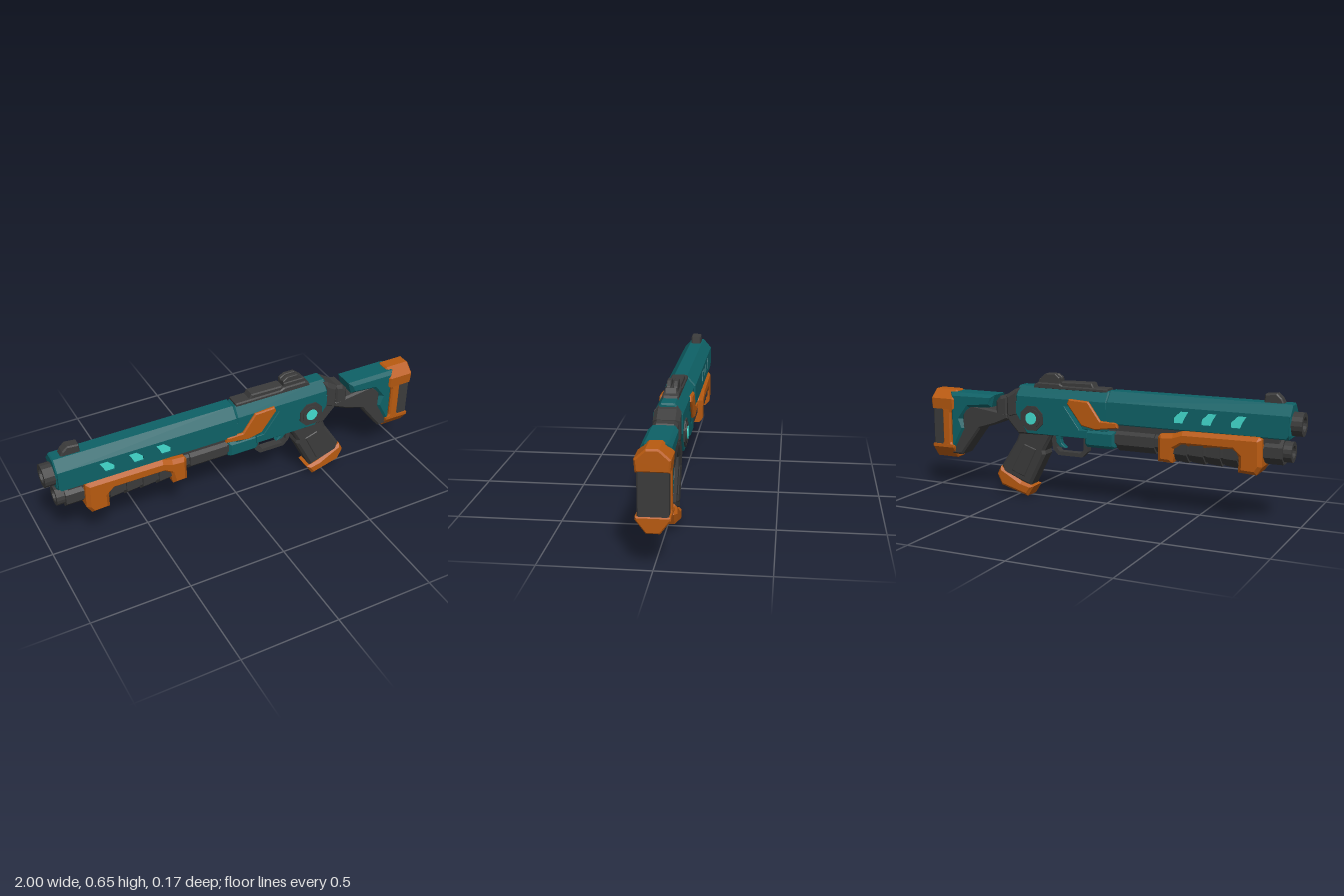
import * as THREE from 'three';

const material = (name, color) => {
  const m = new THREE.MeshStandardMaterial({ color });
  m.name = name;
  return m;
};

export function createModel() {
  const teal = material('teal', 0x0e6166);
  const orange = material('orange', 0xb85a10);
  const dark = material('charcoal', 0x3b3b3b);
  const cyan = material('cyan', 0x43dccf);
  const model = new THREE.Group();

  const add = (name, geometry, mat) => {
    const mesh = new THREE.Mesh(geometry, mat);
    mesh.name = name;
    model.add(mesh);
    return mesh;
  };
  const outline = pts => new THREE.Shape(pts.map(p => new THREE.Vector2(...p)));
  const extrude = (shape, length, bevel) => new THREE.ExtrudeGeometry(shape, {
    depth: length - 2 * bevel, bevelEnabled: bevel > 0, bevelThickness: bevel,
    bevelSize: bevel, bevelOffset: -bevel, bevelSegments: 1, curveSegments: 6,
  }).translate(0, 0, bevel);

  // Side outline in x,y, spanning z0 to z1
  const plate = (name, mat, pts, z0, z1, bevel = 0) =>
    add(name, extrude(outline(pts), z1 - z0, bevel).translate(0, 0, z0), mat);
  const slab = (name, mat, pts, half, bevel = 0.012) => plate(name, mat, pts, -half, half, bevel);
  // Half cross-section in z,y, mirrored and run from x0 to x1
  const beam = (name, mat, half, x0, x1, bevel = 0.008) => {
    const pts = [...half, ...half.map(([z, y]) => [-z, y]).reverse()];
    return add(name, extrude(outline(pts), x1 - x0, bevel).rotateY(Math.PI / 2).translate(x0, 0, 0), mat);
  };
  // Eight-sided rod along x
  const rod = (name, mat, y, r, x0, x1, r2 = r) => {
    const g = new THREE.CylinderGeometry(r2, r, x1 - x0, 8).rotateY(Math.PI / 8).rotateZ(-Math.PI / 2).toNonIndexed();
    g.computeVertexNormals();
    return add(name, g.translate((x0 + x1) / 2, y, 0), mat);
  };
  // Open pipe mouth along x
  const mouth = (name, y, r, hole, x0, x1) => {
    const ring = new THREE.Shape().absarc(0, 0, r, 0, Math.PI * 2);
    ring.holes.push(new THREE.Path().absarc(0, 0, hole, 0, Math.PI * 2, true));
    const g = new THREE.ExtrudeGeometry(ring, { depth: x1 - x0, bevelEnabled: false, curveSegments: 8 });
    add(name, g.rotateY(Math.PI / 2).translate(x0, y, 0), dark);
  };

  // Barrel and magazine tube
  mouth('muzzle', 0.49, 0.057, 0.035, -1, -0.93);
  rod('muzzleCore', dark, 0.49, 0.05, -0.97, -0.92);
  beam('barrelShroud', teal, [[0.05, 0.42], [0.062, 0.44], [0.062, 0.535], [0.03, 0.583]], -0.95, -0.03);
  mouth('magazineMouth', 0.357, 0.05, 0.03, -0.955, -0.9);
  rod('magazineCore', dark, 0.357, 0.045, -0.93, -0.89);
  rod('magazineCollar', dark, 0.357, 0.066, -0.915, -0.83);
  rod('magazineTube', dark, 0.35, 0.055, -0.85, 0);
  rod('magazineSleeve', dark, 0.35, 0.066, -0.28, -0.08);
  beam('tubeBridge', dark, [[0.045, 0.39], [0.045, 0.43]], -0.9, 0.0, 0.005);

  // Shroud side panels with slanted glowing vents
  const ventAt = x => [[x, 0.518], [x + 0.04, 0.518], [x + 0.075, 0.485], [x + 0.075, 0.46], [x + 0.03, 0.46], [x + 0.018, 0.488]];
  const vents = [-0.745, -0.6, -0.46].map(ventAt);
  const panel = outline([[-0.945, 0.445], [-0.935, 0.43], [-0.04, 0.43], [-0.03, 0.445], [-0.03, 0.53], [-0.945, 0.53]]);
  vents.forEach(v => panel.holes.push(new THREE.Path(v.map(p => new THREE.Vector2(...p)))));
  for (const side of [-1, 1]) {
    add('shroudPanel', extrude(panel, 0.014, 0).translate(0, 0, side > 0 ? 0.061 : -0.075), teal);
    vents.forEach(v => plate('ventGlow', cyan, v, side > 0 ? 0.061 : -0.066, side > 0 ? 0.066 : -0.061));
  }
  beam('shroudTop', teal, [[0.075, 0.525], [0.075, 0.535], [0.032, 0.584]], -0.95, -0.03, 0.006);

  // Front sight
  slab('frontSight', dark, [[-0.91, 0.575], [-0.81, 0.575], [-0.815, 0.622], [-0.87, 0.628], [-0.895, 0.605]], 0.026, 0.006);

  // Pump grip
  slab('pumpFrame', orange, [[-0.82, 0.415], [-0.805, 0.425], [-0.43, 0.422], [-0.38, 0.405], [-0.315, 0.4], [-0.305, 0.385],
    [-0.305, 0.265], [-0.38, 0.262], [-0.395, 0.33], [-0.43, 0.352], [-0.68, 0.352], [-0.71, 0.325], [-0.71, 0.25],
    [-0.8, 0.245], [-0.825, 0.285]], 0.085, 0.018);
  rod('pumpCore', dark, 0.34, 0.073, -0.73, -0.36);
  for (let i = 0; i < 4; i++) rod('pumpRib', dark, 0.34, 0.084, -0.705 + i * 0.084, -0.635 + i * 0.084, 0.078);

  // Receiver, with a slanted slot between front and rear
  beam('receiverTop', teal, [[0.068, 0.495], [0.068, 0.53], [0.032, 0.581]], -0.03, 0.485);
  slab('receiverFront', teal, [[-0.03, 0.5], [0.185, 0.5], [0.1, 0.385], [-0.03, 0.385]], 0.068, 0.002);
  slab('receiverRear', teal, [[0.21, 0.5], [0.485, 0.5], [0.485, 0.44], [0.42, 0.34], [0.08, 0.34], [0.08, 0.382], [0.122, 0.382]], 0.068, 0.002);
  slab('receiverNose', teal, [[-0.07, 0.385], [0.1, 0.385], [0.1, 0.31], [0.085, 0.295], [-0.055, 0.295], [-0.07, 0.305]], 0.062, 0.015);
  for (const side of [-1, 1]) {
    const z = side > 0 ? 0.055 : -0.08;
    plate('chevronPlate', orange, [[-0.093, 0.408], [-0.088, 0.437], [0, 0.437], [0.067, 0.53], [0.175, 0.535],
      [0.185, 0.51], [0.105, 0.406], [0.03, 0.39]], z, z + 0.025, 0.006);
  }

  // Pivot hub
  for (const [name, mat, r, half, sides] of [['hub', dark, 0.068, 0.075, 8], ['hubRim', dark, 0.05, 0.08, 16], ['hubGlow', cyan, 0.031, 0.083, 16]]) {
    const g = new THREE.CylinderGeometry(r, r, half * 2, sides).rotateY(Math.PI / sides).rotateX(Math.PI / 2).toNonIndexed();
    if (sides === 8) g.computeVertexNormals();
    add(name, g.translate(0.39, 0.42, 0), mat);
  }

  // Top rail and rear sight
  slab('topRail', dark, [[-0.02, 0.57], [0.4, 0.57], [0.39, 0.592], [0.37, 0.602], [0.25, 0.602], [0.23, 0.592], [-0.02, 0.592]], 0.038, 0.006);
  slab('railCover', dark, [[0.055, 0.585], [0.245, 0.585], [0.24, 0.612], [0.07, 0.615]], 0.032, 0.006);
  for (const z of [-0.021, 0.011]) {
    plate('rearSightProng', dark, [[0.25, 0.595], [0.37, 0.595], [0.355, 0.628], [0.33, 0.648], [0.275, 0.648], [0.25, 0.63]], z - 0.009, z + 0.012, 0.003);
  }
  slab('rearSightBase', dark, [[0.25, 0.59], [0.38, 0.59], [0.365, 0.622], [0.25, 0.622]], 0.028, 0.004);

  // Trigger and guard
  const guard = outline([[0.1, 0.35], [0.1, 0.26], [0.13, 0.23], [0.265, 0.23], [0.295, 0.26], [0.31, 0.35]]);
  guard.holes.push(new THREE.Path([[0.12, 0.34], [0.12, 0.27], [0.14, 0.25], [0.257, 0.25], [0.275, 0.27], [0.285, 0.34]].map(p => new THREE.Vector2(...p))));
  add('triggerGuard', extrude(guard, 0.04, 0).translate(0, 0, -0.02), dark);
  slab('trigger', teal, [[0.245, 0.35], [0.285, 0.35], [0.28, 0.295], [0.26, 0.272], [0.225, 0.268], [0.25, 0.29], [0.255, 0.31]], 0.014, 0.002);

  // Pistol grip
  slab('gripMount', dark, [[0.28, 0.335], [0.3, 0.36], [0.34, 0.365], [0.4, 0.38], [0.45, 0.4], [0.485, 0.45], [0.55, 0.45], [0.545, 0.4], [0.48, 0.33]], 0.058, 0.01);
  slab('grip', dark, [[0.285, 0.345], [0.335, 0.25], [0.33, 0.23], [0.42, 0.055], [0.58, 0.11], [0.59, 0.15], [0.5, 0.29], [0.48, 0.345]], 0.048, 0.014);
  slab('gripPanel', dark, [[0.375, 0.255], [0.45, 0.1], [0.53, 0.13], [0.45, 0.28]], 0.052, 0.006);
  slab('gripCap', orange, [[0.4, 0.055], [0.435, 0.0], [0.59, 0.045], [0.617, 0.1], [0.595, 0.144], [0.54, 0.115], [0.47, 0.075]], 0.056, 0.014);

  // Neck and stock
  slab('neckCollar', dark, [[0.47, 0.57], [0.5, 0.56], [0.555, 0.525], [0.555, 0.42], [0.53, 0.4], [0.47, 0.42]], 0.062, 0.02);
  slab('neck', dark, [[0.54, 0.525], [0.59, 0.518], [0.615, 0.49], [0.62, 0.41], [0.54, 0.41]], 0.056, 0.016);
  slab('stockStrut', dark, [[0.54, 0.43], [0.76, 0.46], [0.82, 0.42], [0.82, 0.35], [0.895, 0.25], [0.895, 0.185], [0.83, 0.185],
    [0.715, 0.335], [0.62, 0.365], [0.54, 0.4]], 0.056, 0.01);
  slab('stock', teal, [[0.62, 0.52], [0.89, 0.52], [0.89, 0.2], [0.865, 0.21], [0.8, 0.33], [0.82, 0.38], [0.775, 0.44], [0.64, 0.455]], 0.067, 0.018);

  // Butt
  beam('buttTop', orange, [[0.073, 0.428], [0.078, 0.485], [0.028, 0.53]], 0.862, 1, 0.008);
  beam('buttBottom', orange, [[0.03, 0.163], [0.075, 0.222], [0.075, 0.238]], 0.865, 1, 0.006);
  slab('buttSpine', orange, [[0.868, 0.46], [0.95, 0.46], [0.935, 0.42], [0.935, 0.25], [0.95, 0.22], [0.87, 0.22], [0.885, 0.25], [0.885, 0.41]], 0.073, 0.008);
  slab('buttPad', dark, [[0.92, 0.44], [0.995, 0.44], [0.995, 0.225], [0.92, 0.225]], 0.067, 0.006);

  return model;
}
